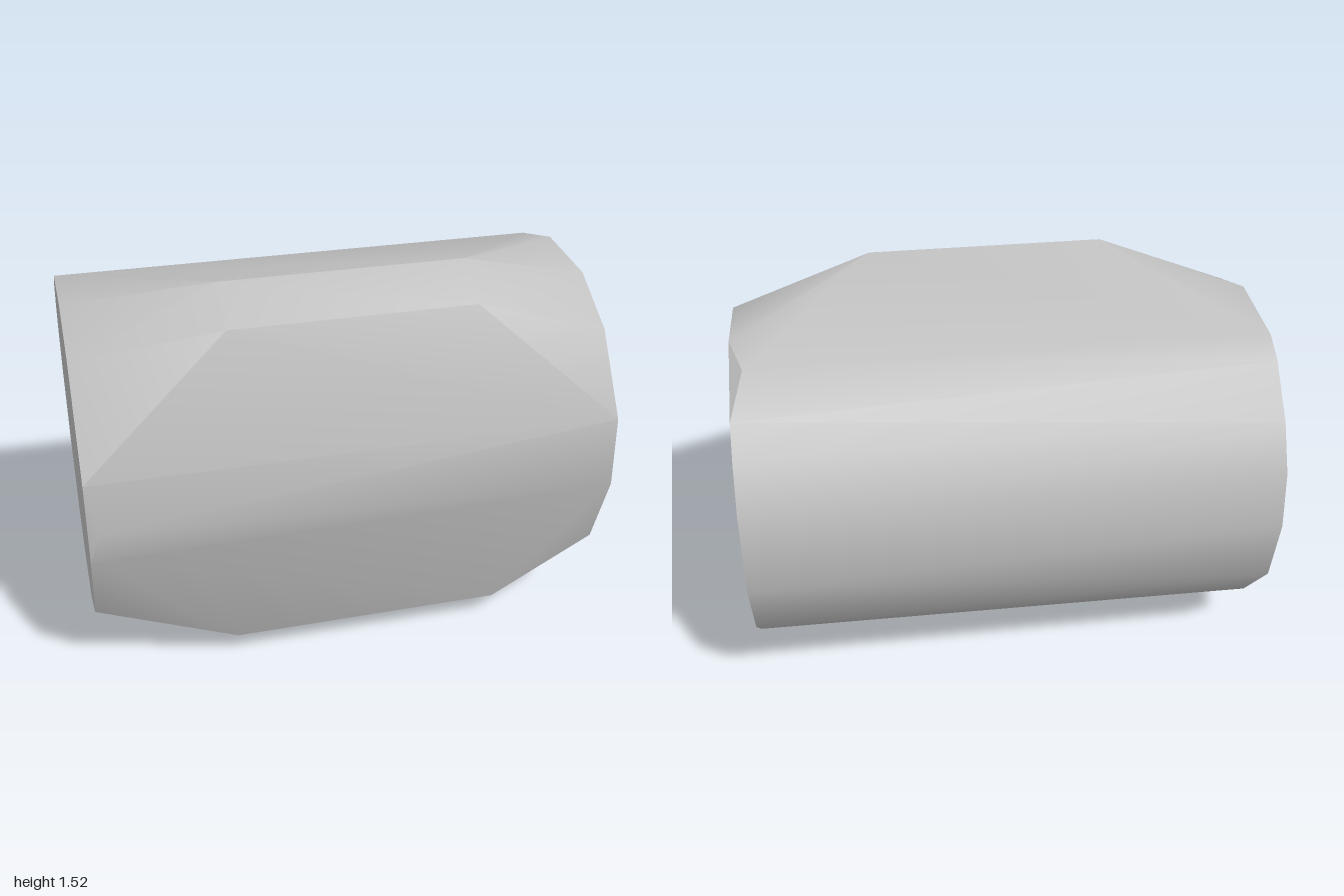
import * as THREE from 'three';
import { ConvexGeometry } from 'three/addons/geometries/ConvexGeometry.js';
import { toCreasedNormals } from 'three/addons/utils/BufferGeometryUtils.js';

// End outlines as [z, y]
const leftEnd = [
  [0.63, 0.95], [0.44, 1.24], [0.21, 1.38], [-0.11, 1.41], [-0.43, 1.26], [-0.53, 1.15],
  [-0.62, 0.98], [-0.65, 0.67], [-0.53, 0.39], [-0.37, 0.235], [-0.23, 0.155],
  [0.09, 0.105], [0.525, 0.355], [0.64, 0.67],
];
const rightEnd = [
  [0.62, 0.95], [0.355, 1.3], [0.08, 1.4], [-0.27, 1.375], [-0.37, 1.32], [-0.53, 1.15],
  [-0.62, 0.98], [-0.65, 0.76], [-0.59, 0.48], [-0.37, 0.215], [-0.17, 0.135],
  [0.145, 0.125], [0.47, 0.3], [0.635, 0.64],
];

// Corner ridges as [x start, x end, y start, y end, z]
const ridges = [
  [-0.46, 0.46, 1.53, 1.53, 0.315],
  [-0.46, 0.46, 1.425, 1.425, 0.5],
  [-0.46, 0.63, 0.005, 0.015, 0.315],
  [-0.46, 0.6, 0.105, 0.105, 0.5],
];

export function createModel() {
  const group = new THREE.Group();
  const grey = new THREE.MeshStandardMaterial({ color: 0xc0c0c0 });
  grey.name = 'grey';

  const points = [
    ...leftEnd.map(([z, y]) => new THREE.Vector3(1, y, z)),
    ...rightEnd.map(([z, y]) => new THREE.Vector3(-1, y, z)),
    // Slight bulges beside the ends
    new THREE.Vector3(-0.96, 0.76, 0.652),
    new THREE.Vector3(0.95, 1.375, -0.27),
  ];
  for (const [x0, x1, y0, y1, z] of ridges) {
    points.push(new THREE.Vector3(x0, y0, z), new THREE.Vector3(x1, y1, z));
  }

  // Convex drum, smooth around the barrel with sharp ends and ridges
  const body = new THREE.Mesh(toCreasedNormals(new ConvexGeometry(points), 0.55), grey);
  body.name = 'drumBody';
  group.add(body);
  return group;
}
